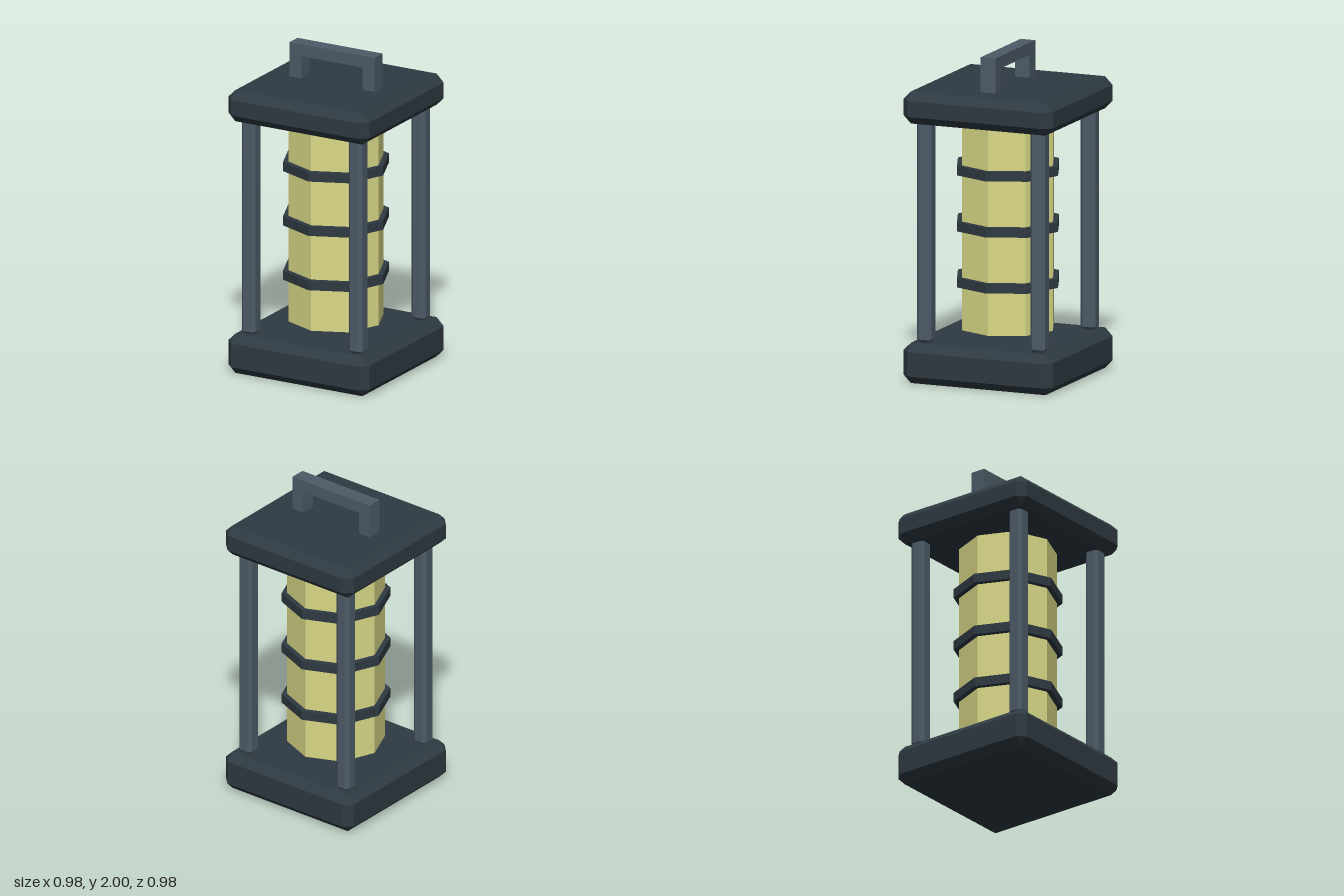
import * as THREE from 'three';
import { ConvexGeometry } from 'three/addons/geometries/ConvexGeometry.js';

// Box with flat chamfers on every edge and corner
function chamferBox(w, h, d, c) {
  const points = [];
  for (const sx of [-1, 1]) for (const sy of [-1, 1]) for (const sz of [-1, 1]) {
    const x = w / 2, y = h / 2, z = d / 2;
    points.push(
      new THREE.Vector3(sx * x, sy * (y - c), sz * (z - c)),
      new THREE.Vector3(sx * (x - c), sy * y, sz * (z - c)),
      new THREE.Vector3(sx * (x - c), sy * (y - c), sz * z)
    );
  }
  return new ConvexGeometry(points);
}

// Eight-sided drum with flat faces
function octagon(radius, height) {
  return new THREE.CylinderGeometry(radius, radius, height, 8).toNonIndexed();
}

function flat(geometry) {
  geometry.computeVertexNormals();
  return geometry;
}

export function createModel() {
  const darkMetal = new THREE.MeshStandardMaterial({ name: 'dark metal', color: 0x2f3a42 });
  const steel = new THREE.MeshStandardMaterial({ name: 'steel', color: 0x4d5b68 });
  const glow = new THREE.MeshStandardMaterial({ name: 'pale yellow glass', color: 0xdada88 });

  const lantern = new THREE.Group();
  lantern.name = 'lantern';

  function add(name, geometry, material, x, y, z) {
    const mesh = new THREE.Mesh(geometry, material);
    mesh.name = name;
    mesh.position.set(x, y, z);
    lantern.add(mesh);
  }

  // Base and lid
  add('base', chamferBox(0.98, 0.247, 0.98, 0.049), darkMetal, 0, 0.1235, 0);
  add('lid', chamferBox(0.98, 0.196, 0.98, 0.049), darkMetal, 0, 1.687, 0);

  // Corner posts, running up into the lid
  const post = chamferBox(0.096, 1.37, 0.096, 0.02);
  for (const x of [-0.372, 0.372]) {
    for (const z of [-0.372, 0.372]) add('post', post, steel, x, 0.93, z);
  }

  // Glass column with three bands around it
  add('glass', flat(octagon(0.295, 1.275)), glow, 0, 0.935, 0);
  const band = flat(octagon(0.328, 0.058));
  for (const y of [0.592, 0.935, 1.278]) add('band', band, darkMetal, 0, y, 0);

  // Carrying handle
  const leg = new THREE.BoxGeometry(0.082, 0.22, 0.096);
  for (const x of [-0.254, 0.254]) add('handleLeg', leg, steel, x, 1.815, 0);
  add('handleBar', new THREE.BoxGeometry(0.59, 0.075, 0.096), steel, 0, 1.9625, 0);

  return lantern;
}
